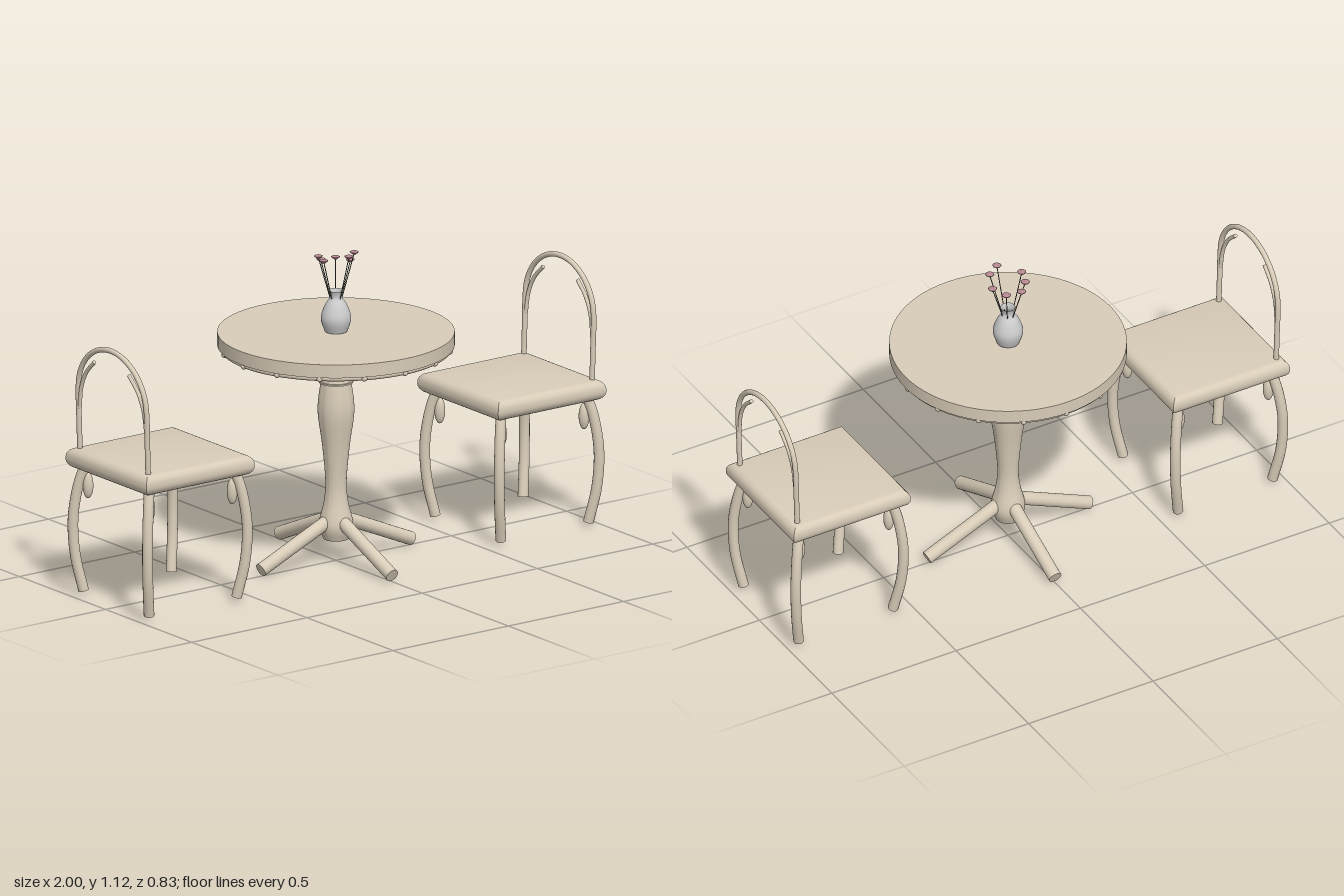
import * as THREE from 'three';
import { toCreasedNormals } from 'three/addons/utils/BufferGeometryUtils.js';

const wood = new THREE.MeshStandardMaterial({ color: 0xd8ccb8 });
const ceramic = new THREE.MeshStandardMaterial({ color: 0xcccccc, side: THREE.DoubleSide });
const stemMat = new THREE.MeshStandardMaterial({ color: 0x56584f });
const petalMat = new THREE.MeshStandardMaterial({ color: 0xb88a92 });

const v = (x, y, z) => new THREE.Vector3(x, y, z);

function add(parent, name, geometry, material = wood) {
  const mesh = new THREE.Mesh(geometry, material);
  mesh.name = name;
  parent.add(mesh);
  return mesh;
}

// Straight round rod between two points
function rod(parent, name, a, b, r, material = wood, sides = 20) {
  const mesh = add(parent, name, new THREE.CylinderGeometry(r, r, a.distanceTo(b), sides), material);
  mesh.position.copy(a).lerp(b, 0.5);
  mesh.quaternion.setFromUnitVectors(v(0, 1, 0), b.clone().sub(a).normalize());
  return mesh;
}

// Bent round bar through points, with flat end caps
function bar(parent, name, points, r, segments = 32) {
  const curve = new THREE.CatmullRomCurve3(points);
  add(parent, name, new THREE.TubeGeometry(curve, segments, r, 14));
  for (const t of [0, 1]) {
    const cap = add(parent, name + 'End', new THREE.CircleGeometry(r, 14));
    cap.position.copy(curve.getPoint(t));
    cap.quaternion.setFromUnitVectors(v(0, 0, 1), curve.getTangent(t).multiplyScalar(t ? 1 : -1));
  }
}

// Smooth turned profile from [radius, height] pairs
function turned(pairs, steps = 40) {
  const curve = new THREE.SplineCurve(pairs.map(([x, y]) => new THREE.Vector2(x, y)));
  return curve.getPoints(steps);
}

function createTable() {
  const table = new THREE.Group();
  table.name = 'table';

  add(table, 'tableTop', new THREE.CylinderGeometry(0.413, 0.413, 0.048, 72)).position.y = 0.809;

  // Moulding and beads under the rim
  const moulding = add(table, 'rimMoulding', new THREE.TorusGeometry(0.395, 0.01, 10, 72));
  moulding.rotation.x = Math.PI / 2;
  moulding.position.y = 0.779;
  for (let i = 0; i < 16; i++) {
    const a = (i / 16) * Math.PI * 2;
    add(table, 'rimBead', new THREE.SphereGeometry(0.011, 12, 8))
      .position.set(0.4 * Math.cos(a), 0.777, 0.4 * Math.sin(a));
  }

  // Turned column with a thin collar
  const profile = turned([
    [0.044, 0.083], [0.06, 0.135], [0.043, 0.215], [0.037, 0.29], [0.048, 0.42],
    [0.064, 0.545], [0.055, 0.64], [0.046, 0.69], [0.061, 0.73], [0.065, 0.788],
  ]);
  const column = new THREE.LatheGeometry([new THREE.Vector2(0, 0.083), ...profile], 40);
  add(table, 'column', toCreasedNormals(column, 0.7));
  add(table, 'collar', new THREE.CylinderGeometry(0.06, 0.06, 0.005, 40)).position.y = 0.652;

  // Four splayed feet
  for (let i = 0; i < 4; i++) {
    const a = (i * Math.PI) / 2;
    const c = Math.cos(a), s = Math.sin(a);
    rod(table, 'tableFoot', v(0.02 * c, 0.158, 0.02 * s), v(0.326 * c, 0.0245, 0.326 * s), 0.024);
  }
  return table;
}

function createVase() {
  const vase = new THREE.Group();
  vase.name = 'flowerVase';
  const profile = turned([
    [0.039, 0.833], [0.051, 0.868], [0.051, 0.895], [0.038, 0.93], [0.022, 0.957], [0.026, 0.982],
  ], 28);
  add(vase, 'vase', new THREE.LatheGeometry([new THREE.Vector2(0, 0.833), ...profile], 32), ceramic);

  // Flower heads on thin spreading stems
  const heads = [
    [0.005, 1.115, 0.068], [0.053, 1.115, 0.035], [0.062, 1.078, 0], [0.04, 1.078, -0.057],
    [-0.017, 1.078, -0.065], [-0.043, 1.098, -0.045], [-0.062, 1.098, 0.012],
  ];
  for (const [x, y, z] of heads) {
    rod(vase, 'stem', v(x * 0.1, 0.9, z * 0.1), v(x, y, z), 0.0016, stemMat, 6);
    const cup = add(vase, 'flowerCup', new THREE.CylinderGeometry(0.016, 0.005, 0.01, 12), petalMat);
    cup.position.set(x, y, z);
    const bloom = add(vase, 'flowerBloom', new THREE.SphereGeometry(0.015, 12, 8), petalMat);
    bloom.scale.y = 0.35;
    bloom.position.set(x, y + 0.004, z);
  }
  return vase;
}

// Chair centred on its seat, with the back towards +x
function createChair() {
  const chair = new THREE.Group();
  chair.name = 'chair';

  // Square seat with rounded edges and mitred corners
  const half = 0.235, low = 0.46, high = 0.535, r = 0.034;
  const points = [new THREE.Vector2(0, low)];
  for (let i = 0; i <= 12; i++) {
    const a = -Math.PI / 2 + (i / 12) * Math.PI;
    const mid = i <= 6 ? low + r : high - r;
    points.push(new THREE.Vector2((half - r + r * Math.cos(a)) * Math.SQRT2, mid + r * Math.sin(a)));
  }
  points.push(new THREE.Vector2(0, high));
  const seat = new THREE.LatheGeometry(points, 4, Math.PI / 4);
  add(chair, 'seat', toCreasedNormals(seat, 0.6));

  // Bowed legs with an oval knob inside each
  for (const sx of [-1, 1]) {
    for (const sz of [-1, 1]) {
      const path = [[0.186, 0.475], [0.203, 0.4], [0.216, 0.28], [0.211, 0.15], [0.19, 0.018]];
      bar(chair, 'chairLeg', path.map(([d, y]) => v(sx * d, y, sz * d)), 0.0185);
      const knob = add(chair, 'legKnob', new THREE.SphereGeometry(0.019, 16, 12));
      knob.scale.y = 2.5;
      knob.position.set(sx * 0.179, 0.4, sz * 0.179);
    }
  }

  // Hooped back leaning slightly outwards
  const lean = (y) => 0.2 + 0.012 * ((y - 0.53) / 0.4);
  const hoop = [v(lean(0.52), 0.52, 0.198), v(lean(0.63), 0.63, 0.198)];
  for (let i = 0; i <= 12; i++) {
    const a = (i / 12) * Math.PI;
    const y = 0.75 + 0.184 * Math.sin(a);
    hoop.push(v(lean(y), y, 0.198 * Math.cos(a)));
  }
  hoop.push(v(lean(0.63), 0.63, -0.198), v(lean(0.52), 0.52, -0.198));
  bar(chair, 'backHoop', hoop, 0.0095, 72);

  // Curved braces inside the hoop
  for (const s of [-1, 1]) {
    const brace = [[0.193, 0.68], [0.18, 0.76], [0.15, 0.82], [0.1, 0.87]];
    bar(chair, 'backBrace', brace.map(([z, y]) => v(lean(y), y, s * z)), 0.007);
  }
  return chair;
}

export function createModel() {
  const model = new THREE.Group();
  model.name = 'diningSet';
  model.add(createTable(), createVase());
  for (const side of [1, -1]) {
    const chair = createChair();
    chair.position.x = side * 0.763;
    if (side < 0) chair.rotation.y = Math.PI;
    model.add(chair);
  }
  return model;
}
